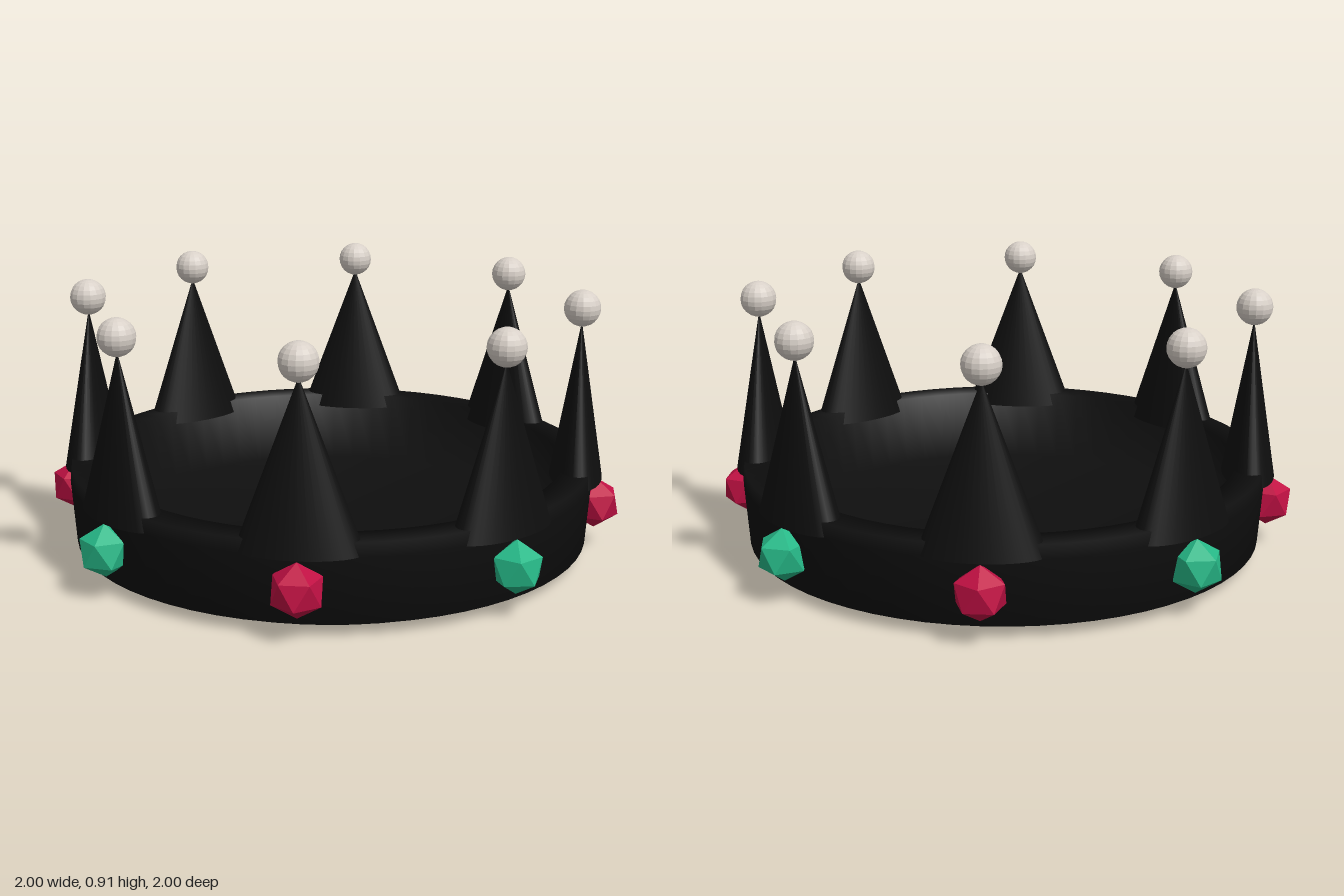
import * as THREE from 'three';

const material = (name, color, flatShading = false) => {
  const m = new THREE.MeshStandardMaterial({ color, flatShading });
  m.name = name;
  return m;
};

export function createModel() {
  const crown = new THREE.Group();
  crown.name = 'crown';

  const black = material('black metal', 0x0e0e0e);
  const pearl = material('pearl', 0xd8d0c8, true);
  const green = material('green gem', 0x26b887, true);
  const red = material('red gem', 0xc01043, true);

  const add = (parent, name, geometry, mat, x, y) => {
    const mesh = new THREE.Mesh(geometry, mat);
    mesh.name = name;
    mesh.position.set(x, y, 0);
    parent.add(mesh);
    return mesh;
  };

  // Band: a shallow closed-bottom cup with a chamfered foot and flat rim
  const profile = [
    [0, 0], [0.8, 0], [0.89, 0.04], [0.905, 0.26], [0.9, 0.305],
    [0.8, 0.305], [0.78, 0.05], [0, 0.05],
  ].map(([x, y]) => new THREE.Vector2(x, y));
  add(crown, 'band', new THREE.LatheGeometry(profile, 64), black, 0, 0);

  // Spikes are cones flattened towards the band
  const spike = new THREE.ConeGeometry(0.2, 0.54, 32).scale(0.45, 1, 1);
  const ball = new THREE.SphereGeometry(0.062, 16, 12);
  // Gems stand on one vertex
  const gem = new THREE.IcosahedronGeometry(0.09)
    .rotateZ(-Math.atan(2 / (1 + Math.sqrt(5))));

  // Eight points around the band, each with its spike, pearl and gem
  for (let i = 0; i < 8; i++) {
    const point = new THREE.Group();
    point.name = 'crownPoint' + (i + 1);
    point.rotation.y = (i * Math.PI) / 4;
    add(point, 'spike', spike, black, 0.85, 0.53);
    add(point, 'pearl', ball, pearl, 0.85, 0.845);
    const jewel = add(point, 'gem', gem, i % 2 ? red : green, 0.92, 0.16);
    // Gems on the far half keep the same facing as those opposite
    if (i >= 4 && i !== 6 || i === 2) jewel.rotation.y = i === 2 ? 0 : Math.PI;
    if (i === 6) jewel.rotation.y = Math.PI;
    crown.add(point);
  }
  return crown;
}
